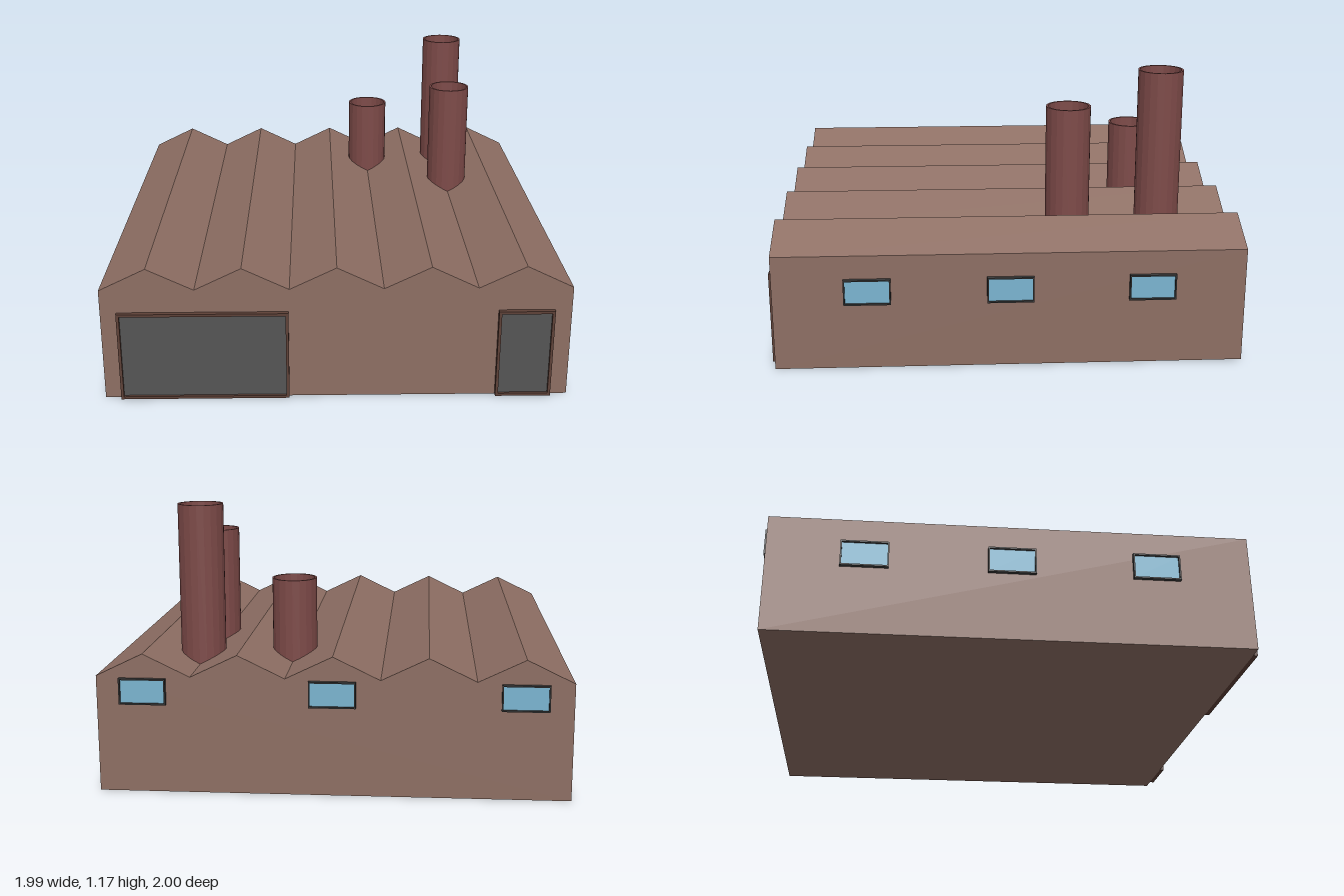
import * as THREE from 'three';

const mat = (color, extra = {}) => new THREE.MeshStandardMaterial({ color, ...extra });
const MATS = {
  wall: mat(0x8d6e63, { flatShading: true }),
  brick: mat(0x7d4a48, { flatShading: true }),
  doorFrame: mat(0x5d4037),
  doorPanel: mat(0x555555),
  windowFrame: mat(0x3a3a3a),
  glass: mat(0x7ab4d0),
};
const HALF_X = 0.978, HALF_Z = 0.98;

function mesh(name, geometry, material) {
  const m = new THREE.Mesh(geometry, material);
  m.name = name;
  return m;
}

// Hall with a zigzag roof of five ridges, extruded front to back
function buildHall() {
  const shape = new THREE.Shape();
  shape.moveTo(-HALF_X, 0);
  shape.lineTo(HALF_X, 0);
  for (let i = 10; i >= 0; i--) {
    shape.lineTo(-HALF_X + (i * HALF_X) / 5, i % 2 ? 0.59 : 0.495);
  }
  shape.closePath();
  const g = new THREE.ExtrudeGeometry(shape, { depth: HALF_Z * 2, bevelEnabled: false });
  g.translate(0, 0, -HALF_Z);
  return mesh('hall', g, MATS.wall);
}

// Raised frame around a recessed panel, facing +z with its back on z = 0
function buildFramed(name, w, h, border, depth, frameMat, panelMat) {
  const group = new THREE.Group();
  group.name = name;
  const rect = (cls, a, b) => new cls([[-a, -b], [a, -b], [a, b], [-a, b]].map(p => new THREE.Vector2(...p)));
  const shape = rect(THREE.Shape, w / 2, h / 2);
  shape.holes.push(rect(THREE.Path, w / 2 - border, h / 2 - border));
  const frame = new THREE.ExtrudeGeometry(shape, { depth, bevelEnabled: false });
  const panel = new THREE.BoxGeometry(w - border * 2, h - border * 2, depth * 0.4);
  panel.translate(0, 0, depth * 0.2);
  group.add(mesh(name + 'Frame', frame, frameMat), mesh(name + 'Panel', panel, panelMat));
  return group;
}

// Hollow chimney with a thin rim
function buildChimney(x, z, top) {
  const r = 0.097, inner = 0.088, base = 0.45;
  const profile = [[0, base], [r, base], [r, top], [inner, top], [inner, top - 0.2], [0, top - 0.2]];
  const g = new THREE.LatheGeometry(profile.map(p => new THREE.Vector2(...p)), 20);
  const chimney = mesh('chimney', g, MATS.brick);
  chimney.position.set(x, 0, z);
  return chimney;
}

export function createModel() {
  const model = new THREE.Group();
  model.name = 'factory';
  model.add(buildHall());

  // Chimneys stand in the roof valleys
  for (const c of [[0.195, -0.6, 0.85], [0.587, -0.665, 1.175], [0.587, -0.27, 1.02]]) {
    model.add(buildChimney(...c));
  }

  // Front doors
  for (const [name, x0, x1] of [['loadingDoor', -0.91, -0.2], ['entranceDoor', 0.672, 0.906]]) {
    const door = buildFramed(name, x1 - x0, 0.395, 0.012, 0.02, MATS.doorFrame, MATS.doorPanel);
    door.position.set((x0 + x1) / 2, 0.1975, HALF_Z);
    model.add(door);
  }

  // Windows: three on each side wall and three on the back
  const addWindow = (x, y, z, turn) => {
    const win = buildFramed('window', 0.194, 0.11, 0.006, 0.018, MATS.windowFrame, MATS.glass);
    win.position.set(x, y, z);
    win.rotation.y = turn;
    model.add(win);
  };
  for (const z of [-0.59, 0, 0.59]) {
    for (const side of [-1, 1]) addWindow(side * HALF_X, 0.34, z, side * Math.PI / 2);
  }
  for (const x of [-0.782, 0.002, 0.785]) addWindow(x, 0.433, -HALF_Z, Math.PI);

  return model;
}
